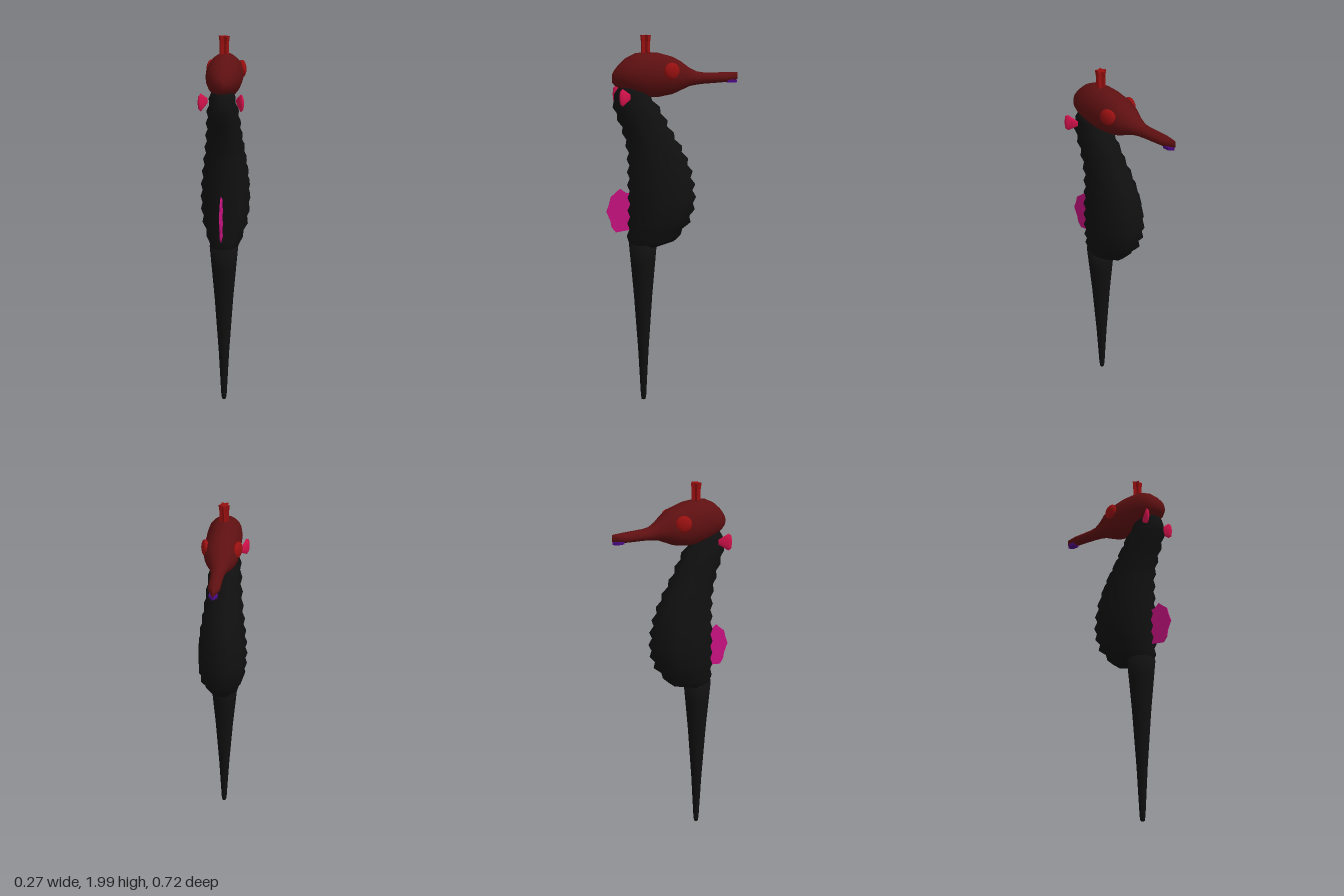
import * as THREE from 'three';

const mat = (name, color, extra = {}) => {
  const m = new THREE.MeshStandardMaterial({ color, ...extra });
  m.name = name;
  return m;
};

// Linear interpolation in a table of rows keyed by their first value
function sample(rows, t) {
  let i = 0;
  while (i < rows.length - 2 && t > rows[i + 1][0]) i++;
  const a = rows[i], b = rows[i + 1], k = (t - a[0]) / (b[0] - a[0]);
  return a.map((v, j) => v + (b[j] - v) * k);
}

// Skin of oval rings stacked along y; each row is [y, half width, min z, max z]
function loft(rows, sides) {
  const pos = [], idx = [];
  const lowest = Math.cos(Math.PI * 2 * Math.floor(sides / 2) / sides);
  for (const [y, w, z0, z1] of rows) {
    for (let j = 0; j < sides; j++) {
      const a = j / sides * Math.PI * 2;
      const k = (Math.cos(a) - lowest) / (1 - lowest);
      pos.push(Math.sin(a) * w, y, z0 + (z1 - z0) * k);
    }
  }
  for (let i = 0; i < rows.length - 1; i++) {
    for (let j = 0; j < sides; j++) {
      const a = i * sides + j, b = i * sides + (j + 1) % sides;
      idx.push(a, b, b + sides, a, b + sides, a + sides);
    }
  }
  // End caps
  const last = (rows.length - 1) * sides;
  for (let j = 1; j < sides - 1; j++) {
    idx.push(0, j + 1, j, last, last + j, last + j + 1);
  }
  const g = new THREE.BufferGeometry();
  g.setAttribute('position', new THREE.Float32BufferAttribute(pos, 3));
  g.setIndex(idx);
  g.computeVertexNormals();
  return g;
}

const polygon = (pts) => new THREE.Shape(pts.map(([x, y]) => new THREE.Vector2(x, y)));
const plate = (pts, depth) => new THREE.ExtrudeGeometry(polygon(pts), { depth, bevelEnabled: false });

export function createModel() {
  const model = new THREE.Group();
  model.name = 'seahorse';
  const black = mat('bodyBlack', 0x101010);
  const maroon = mat('headMaroon', 0x5e1011);
  const red = mat('eyeRed', 0x981010);
  const crimson = mat('cheekFinCrimson', 0xd4124c);
  const magenta = mat('backFinMagenta', 0xc71280);
  const purple = mat('mouthPurple', 0x4b0a82);

  const add = (name, geometry, material) => {
    const mesh = new THREE.Mesh(geometry, material);
    mesh.name = name;
    model.add(mesh);
    return mesh;
  };

  // Ridged trunk: alternate rings swell and shrink
  const trunk = [
    [0.9, 0.08, 0.0, 0.24], [0.95, 0.1, -0.04, 0.245], [1.0, 0.117, -0.08, 0.242],
    [1.1, 0.13, -0.112, 0.24], [1.2, 0.128, -0.108, 0.24], [1.3, 0.118, -0.088, 0.24],
    [1.4, 0.104, -0.045, 0.243], [1.5, 0.092, 0.015, 0.268], [1.6, 0.083, 0.065, 0.308],
    [1.66, 0.074, 0.105, 0.322], [1.73, 0.055, 0.16, 0.29],
  ];
  const rings = [[0.875, 0.07, 0.09, 0.235]];
  const count = 24;
  for (let i = 0; i <= count; i++) {
    const [y, w, z0, z1] = sample(trunk, 0.9 + 0.83 * i / count);
    const r = i < 1 || i === count ? 0 : i % 2 ? 0.007 : -0.007;
    rings.push([y, w + r * 0.8, z0 - r * 1.3, z1 + r]);
  }
  add('trunk', loft(rings, 9), black);

  // Tapering tail
  const tailProfile = [[0, 0.01], [0.011, 0.014], [0.015, 0.04], [0.029, 0.3], [0.05, 0.6], [0.066, 0.78], [0.076, 0.89], [0, 0.89]];
  const tail = add('tail', new THREE.LatheGeometry(tailProfile.map(([x, y]) => new THREE.Vector2(x, y)), 16), black);
  tail.position.z = 0.163;

  // Head and snout, lofted along -z: [-z, half width, bottom, top]
  const head = loft([
    [-0.322, 0.012, 1.755, 1.8], [-0.31, 0.035, 1.74, 1.82], [-0.285, 0.06, 1.725, 1.85],
    [-0.25, 0.08, 1.71, 1.882], [-0.2, 0.089, 1.69, 1.907], [-0.14, 0.091, 1.677, 1.912],
    [-0.08, 0.09, 1.675, 1.908], [0, 0.087, 1.69, 1.886], [0.045, 0.073, 1.71, 1.861],
    [0.09, 0.05, 1.73, 1.828], [0.13, 0.037, 1.737, 1.807], [0.17, 0.033, 1.741, 1.801],
    [0.29, 0.03, 1.748, 1.8], [0.325, 0.018, 1.757, 1.8], [0.355, 0.002, 1.764, 1.8],
  ], 20);
  head.rotateX(-Math.PI / 2);
  add('head', head, maroon);

  // Mouth under the snout tip
  const mouth = plate([[-0.021, 0.295], [0.021, 0.295], [0.021, 0.328], [0, 0.352], [-0.021, 0.328]], 0.015);
  mouth.rotateX(-Math.PI / 2).translate(0, 1.746, 0);
  add('mouth', mouth, purple);

  // Star-shaped coronet, flared at the top
  const crown = new THREE.CylinderGeometry(1, 1, 0.12, 10, 2).toNonIndexed();
  const p = crown.attributes.position;
  for (let i = 0; i < p.count; i++) {
    const x = p.getX(i), z = p.getZ(i), y = p.getY(i);
    const spoke = Math.round((Math.atan2(x, z) + Math.PI) / (Math.PI / 5)) % 2;
    const r = (spoke ? 0.016 : 0.03) * (y > 0.05 ? 1 : 0.85);
    p.setXYZ(i, x * r, Math.abs(y) < 0.01 ? 0.025 : y, z * r);
  }
  crown.computeVertexNormals();
  add('coronet', crown, red).position.set(0, 1.94, 0.145);

  // Back fin with a scalloped edge
  const fin = plate([
    [-0.22, 0.97], [-0.255, 0.965], [-0.31, 0.957], [-0.332, 0.985], [-0.338, 1.02], [-0.36, 1.07],
    [-0.345, 1.11], [-0.335, 1.15], [-0.31, 1.17], [-0.285, 1.193], [-0.255, 1.17], [-0.22, 1.165],
  ], 0.006);
  fin.rotateY(Math.PI / 2).translate(-0.003, 0, 0);
  add('backFin', fin, magenta);

  // Paired eyes and fan-shaped cheek fins
  const fan = [[0, 0], [0.014, 0], [0.032, 0.03], [0.046, 0.052], [0.036, 0.067], [0, 0.072]];
  for (const s of [1, -1]) {
    const side = s > 0 ? 'left' : 'right';
    const eye = add(side + 'Eye', new THREE.SphereGeometry(1, 16, 12), red);
    eye.scale.set(0.021, 0.045, 0.045);
    eye.position.set(s * 0.08, 1.815, 0.02);
    eye.rotation.y = s * 0.3;

    const cheek = new THREE.LatheGeometry(fan.map(([x, y]) => new THREE.Vector2(x, y)), 12);
    cheek.scale(1, 1, 0.24);
    cheek.rotateZ(Math.PI / 2).rotateY(Math.PI); // fan opens along +x, flat across z
    const finMesh = add(side + 'CheekFin', cheek, crimson);
    finMesh.position.set(s * 0.075, 1.685, 0.24);
    finMesh.rotation.y = s > 0 ? -1.03 : -Math.PI + 1.03;
  }
  return model;
}
